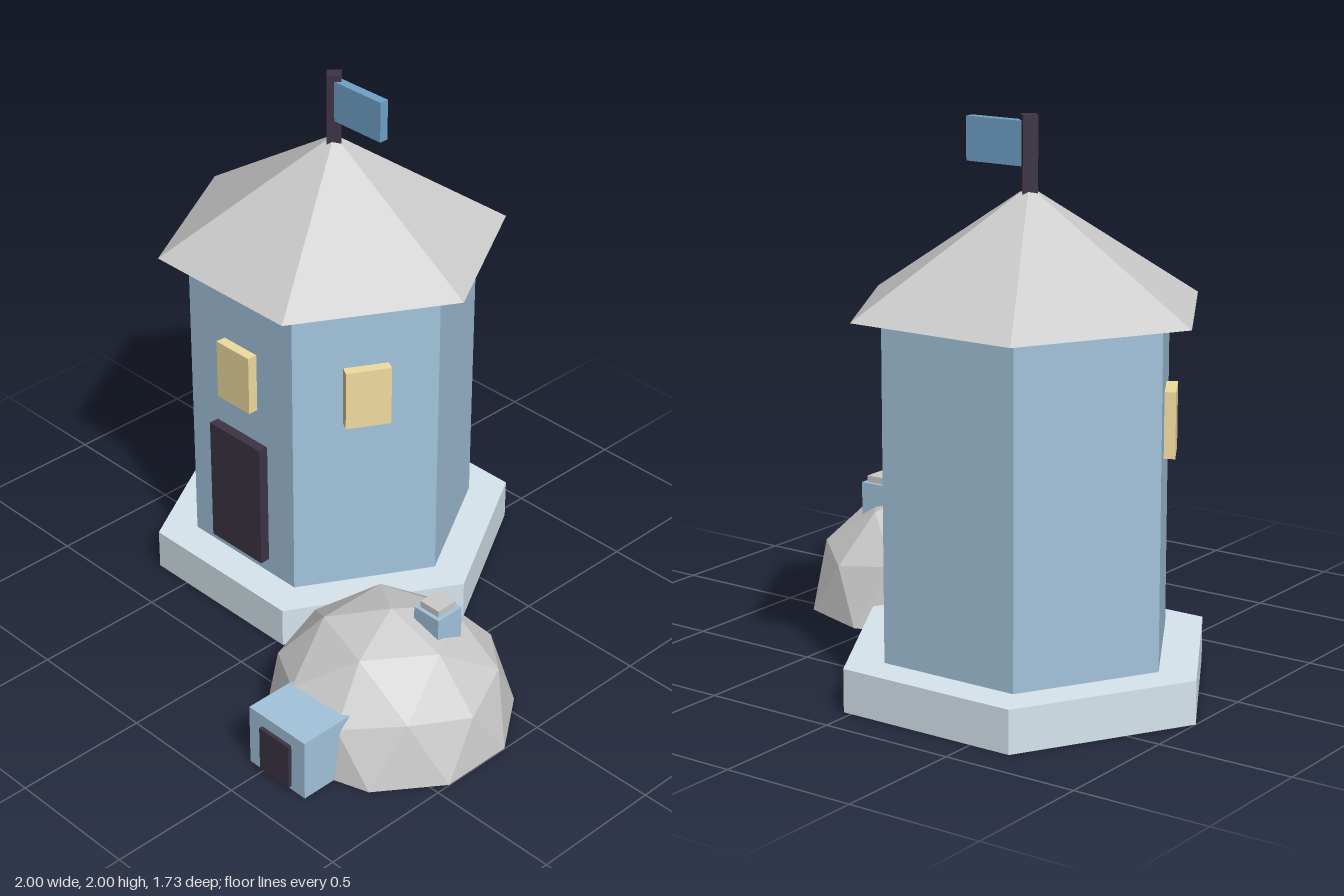
import * as THREE from 'three';

const paint = (color) => new THREE.MeshStandardMaterial({ color, flatShading: true });

const stone = paint(0xcccccc);
const wall = paint(0xa3c4dc);
const plinth = paint(0xd8e6ee);
const glass = paint(0xf0dca0);
const dark = paint(0x3d3344);
const cloth = paint(0x70a2c8);

function add(parent, name, geometry, material, x = 0, y = 0, z = 0) {
  const mesh = new THREE.Mesh(geometry, material);
  mesh.name = name;
  mesh.position.set(x, y, z);
  parent.add(mesh);
  return mesh;
}

// Box given by its two extreme corners
function block(parent, name, material, [x0, y0, z0], [x1, y1, z1]) {
  return add(parent, name, new THREE.BoxGeometry(x1 - x0, y1 - y0, z1 - z0), material,
    (x0 + x1) / 2, (y0 + y1) / 2, (z0 + z1) / 2);
}

// Upright prism or cone with a corner pointing to +x
function prism(parent, name, material, rTop, rBottom, y0, y1, sides) {
  const geometry = new THREE.CylinderGeometry(rTop, rBottom, y1 - y0, sides);
  geometry.rotateY(Math.PI / 2);
  return add(parent, name, geometry, material, 0, (y0 + y1) / 2, 0);
}

function createTower() {
  const tower = new THREE.Group();
  tower.name = 'tower';
  prism(tower, 'towerBase', plinth, 0.688, 0.688, 0, 0.155, 6);
  prism(tower, 'towerWalls', wall, 0.538, 0.538, 0.155, 1.345, 6);
  prism(tower, 'towerRoof', stone, 0, 0.648, 1.345, 1.76, 6);
  prism(tower, 'flagPole', dark, 0.037, 0.037, 1.7, 2, 4);
  block(tower, 'flag', cloth, [0.015, 1.825, -0.018], [0.248, 1.978, 0.018]);
  block(tower, 'towerDoor', dark, [-0.133, 0.213, 0.44], [0.133, 0.71, 0.505]);

  // Windows on the front wall and its two neighbours
  for (const [name, turn] of [['leftWindow', 1], ['frontWindow', 0], ['rightWindow', -1]]) {
    const holder = new THREE.Group();
    holder.name = name;
    block(holder, name + 'Pane', glass, [-0.084, 0.848, 0.44], [0.084, 1.08, 0.505]);
    holder.rotation.y = turn * Math.PI / 3;
    tower.add(holder);
  }
  return tower;
}

// Upper half of a faceted sphere with one corner at the top
function domeGeometry(radius) {
  const sphere = new THREE.IcosahedronGeometry(radius, 1);
  sphere.rotateZ(-Math.atan(2 / (1 + Math.sqrt(5))));
  const p = sphere.attributes.position;
  const kept = [];
  for (let i = 0; i < p.count; i += 3) {
    if (p.getY(i) + p.getY(i + 1) + p.getY(i + 2) < 0) continue;
    for (let j = i; j < i + 3; j++) kept.push(p.getX(j), p.getY(j), p.getZ(j));
  }
  const dome = new THREE.BufferGeometry();
  dome.setAttribute('position', new THREE.Float32BufferAttribute(kept, 3));
  dome.computeVertexNormals();
  return dome;
}

function createHut() {
  const hut = new THREE.Group();
  hut.name = 'hut';
  add(hut, 'hutDome', domeGeometry(0.45), stone);
  const floor = new THREE.CircleGeometry(0.45, 10, Math.PI / 10);
  floor.rotateX(Math.PI / 2);
  add(hut, 'hutFloor', floor, stone);
  block(hut, 'porch', wall, [-0.137, 0.002, 0.25], [0.137, 0.242, 0.545]);
  block(hut, 'hutDoor', dark, [-0.072, 0.018, 0.5], [0.072, 0.195, 0.56]);
  block(hut, 'chimney', wall, [0.067, 0.3, -0.163], [0.183, 0.47, -0.047]);
  block(hut, 'chimneyCap', stone, [0.082, 0.47, -0.148], [0.168, 0.495, -0.062]);
  return hut;
}

export function createModel() {
  const model = new THREE.Group();
  model.name = 'towerAndHut';
  const tower = createTower();
  tower.position.set(-0.312, 0, -0.273);
  const hut = createHut();
  hut.position.set(0.57, 0, 0.305);
  model.add(tower, hut);
  return model;
}
